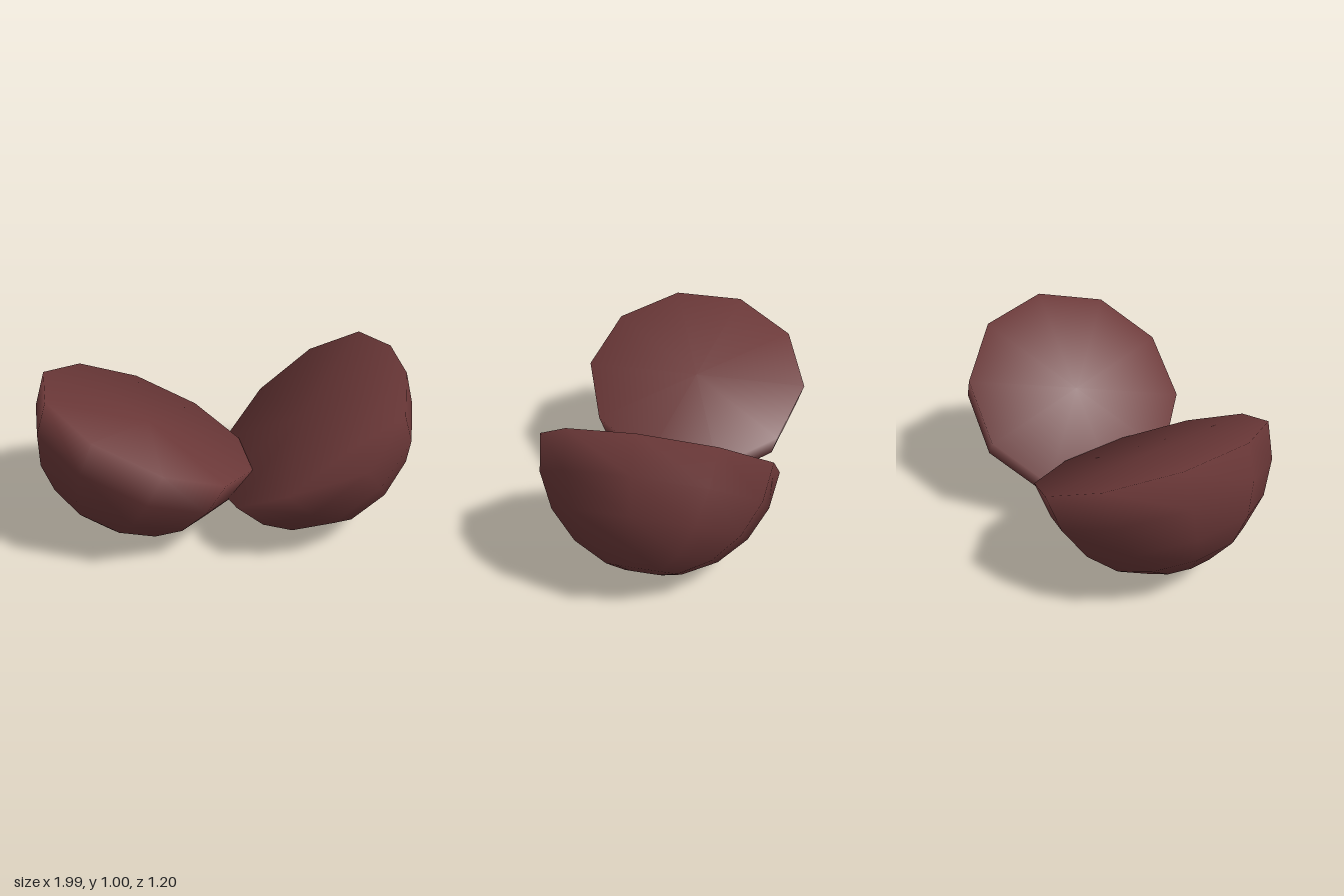
import * as THREE from 'three';
import { mergeVertices } from 'three/addons/utils/BufferGeometryUtils.js';

const R = 0.604, SIDES = 10;

// Solid half ball: flat cut on top (y = 0), dome below with a small six-sided pit at its pole
function halfGeometry() {
  const pit = [[0, -0.55], [0.06, -0.556], [0.1, -0.592]];
  const profile = pit.map(([r, y]) => new THREE.Vector2(r, y));
  for (let i = 1; i <= 5; i++) {
    const a = (i * Math.PI) / 10;
    profile.push(new THREE.Vector2(R * Math.sin(a), i === 5 ? 0 : -R * Math.cos(a)));
  }
  profile.push(new THREE.Vector2(0, 0));

  let geo = new THREE.LatheGeometry(profile, SIDES);
  const p = geo.attributes.position;
  for (let i = 0; i < p.count; i++) {
    const x = p.getX(i), z = p.getZ(i), r = Math.hypot(x, z);
    if (r < 0.001 || r > 0.11) continue;
    // pull the pit rings onto a hexagon
    const sector = Math.PI / 3;
    const phi = (Math.atan2(x, z) + 2 * Math.PI + 1e-6) % sector;
    const s = Math.cos(sector / 2) / Math.cos(phi - sector / 2);
    p.setX(i, x * s);
    p.setZ(i, z * s);
  }
  // weld everything so the shading runs smoothly over the rim
  geo.deleteAttribute('normal');
  geo.deleteAttribute('uv');
  geo = mergeVertices(geo, 1e-4);
  geo.computeVertexNormals();
  return geo;
}

export function createModel() {
  const group = new THREE.Group();
  group.name = 'splitHalves';
  const shell = new THREE.MeshStandardMaterial({ color: 0x6b3838 });
  shell.name = 'reddish brown';
  const geo = halfGeometry();

  // centre of the cut, its normal, and the direction of one rim corner
  function addHalf(name, centre, normal, corner) {
    const y = new THREE.Vector3(...normal).normalize();
    const z = new THREE.Vector3(...corner);
    z.addScaledVector(y, -z.dot(y)).normalize();
    const x = new THREE.Vector3().crossVectors(y, z);
    const mesh = new THREE.Mesh(geo, shell);
    mesh.name = name;
    mesh.quaternion.setFromRotationMatrix(new THREE.Matrix4().makeBasis(x, y, z));
    mesh.position.set(...centre);
    group.add(mesh);
  }
  addHalf('leftHalf', [0.39, 0.604, 0], [-0.656, 0.755, 0], [0.755, 0.656, 0]);
  addHalf('rightHalf', [-0.41, 0.615, -0.003], [0.471, 1, -0.097], [0.06, 0.035, 0.6]);

  return group;
}
